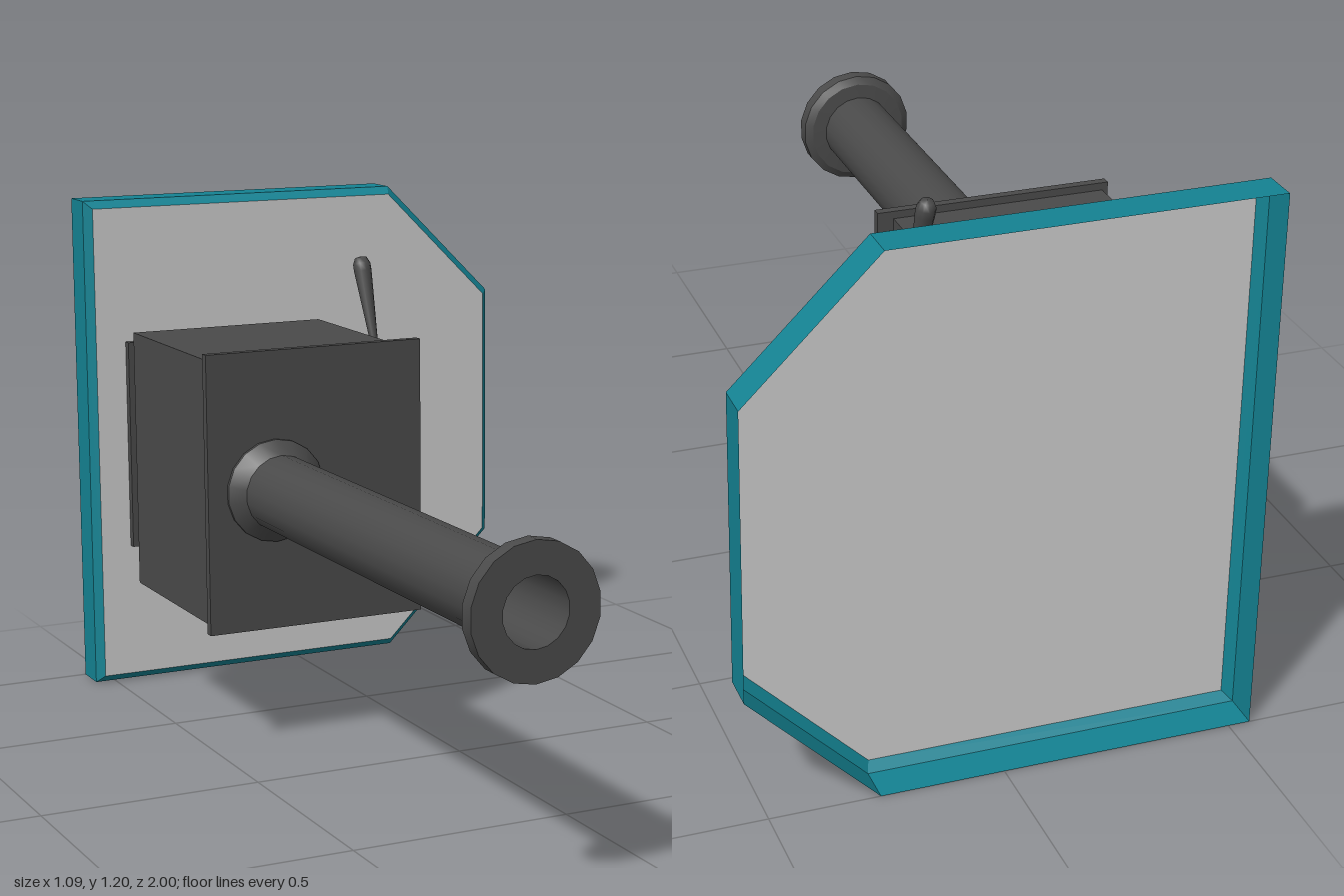
import * as THREE from 'three';
import { toCreasedNormals } from 'three/addons/utils/BufferGeometryUtils.js';

const iron = new THREE.MeshStandardMaterial({ color: 0x4a4a4a, side: THREE.DoubleSide });
const teal = new THREE.MeshStandardMaterial({ color: 0x148292, side: THREE.DoubleSide, flatShading: true });
const grey = new THREE.MeshStandardMaterial({ color: 0xcccccc, side: THREE.DoubleSide });
const wood = new THREE.MeshStandardMaterial({ color: 0x85593a, flatShading: true });

export function createModel() {
  const root = new THREE.Group();

  const add = (name, geometry, material = iron) => {
    const mesh = new THREE.Mesh(geometry, material);
    mesh.name = name;
    root.add(mesh);
    return mesh;
  };

  // Box given by its lower and upper limits on each axis
  const box = (name, [x0, x1], [y0, y1], [z0, z1], material) =>
    add(name, new THREE.BoxGeometry(x1 - x0, y1 - y0, z1 - z0)
      .translate((x0 + x1) / 2, (y0 + y1) / 2, (z0 + z1) / 2), material);

  // Hearth: thin open-backed tray with two cut corners and a bevelled rim
  const outline = (d) => {
    const k = d * 0.414;
    return [[-0.548 + d, d], [0.265 - k, d], [0.546 - d, 0.281 + k],
      [0.546 - d, 0.919 - k], [0.265 - k, 1.2 - d], [-0.548 + d, 1.2 - d]];
  };
  const loops = [[0, -1], [0, -0.92], [0.018, -0.9]]
    .map(([d, z]) => outline(d).map(([x, y]) => [x, y, z]));
  const rim = [];
  for (let l = 0; l < 2; l++) {
    for (let i = 0; i < 6; i++) {
      const j = (i + 1) % 6;
      const a = loops[l][i], b = loops[l][j], c = loops[l + 1][j], d = loops[l + 1][i];
      rim.push(...a, ...b, ...c, ...a, ...c, ...d);
    }
  }
  const rimGeometry = new THREE.BufferGeometry();
  rimGeometry.setAttribute('position', new THREE.Float32BufferAttribute(rim, 3));
  rimGeometry.computeVertexNormals();
  add('hearthRim', rimGeometry, teal);
  const panel = new THREE.Shape(outline(0.018).map(([x, y]) => new THREE.Vector2(x, y)));
  add('hearthPanel', new THREE.ShapeGeometry(panel).translate(0, 0, -0.9), grey);

  // Foot and pedestal
  box('footPlate', [-0.455, -0.07], [0.345, 0.855], [-0.899, -0.88]);
  box('pedestal', [-0.425, -0.1], [0.37, 0.83], [-0.88, -0.72]);

  // Firebox walls
  const X = [-0.5, -0.02], Y = [0.295, 0.905], Z = [-0.72, -0.25], t = 0.02;
  box('fireboxFloor', X, Y, [Z[0], Z[0] + t]);
  box('fireboxBack', [X[0], X[0] + t], Y, Z);
  box('fireboxLowerSide', X, [Y[0], Y[0] + t], Z);
  box('fireboxUpperSide', X, [Y[1] - t, Y[1]], Z);
  box('topPlate', [-0.513, 0.016], [0.28, 0.922], [-0.25, -0.23]);

  // Upright frames with a window, drawn with u = -z and v = y
  const frame = (name, u0, u1, v0, v1, lip, x, depth) => {
    const shape = new THREE.Shape();
    shape.moveTo(u0, v0).lineTo(u1, v0).lineTo(u1, v1).lineTo(u0, v1).closePath();
    const a = 0.325 + lip, b = 0.652 - lip, c = 0.375 + lip, d = 0.825 - lip;
    const R = 0.09 - lip, r = 0.02;
    const hole = new THREE.Path();
    hole.moveTo(a + R, c);
    hole.absarc(a + R, d - R, R, Math.PI, Math.PI / 2, true);
    hole.curves.length = 0;
    hole.moveTo(a, c + R).lineTo(a, d - R)
      .absarc(a + R, d - R, R, Math.PI, Math.PI / 2, true)
      .lineTo(b - r, d).lineTo(b, d - r).lineTo(b, c + r).lineTo(b - r, c)
      .lineTo(a + R, c).absarc(a + R, c + R, R, -Math.PI / 2, -Math.PI, true);
    shape.holes.push(hole);
    const geometry = new THREE.ExtrudeGeometry(shape, { depth, bevelEnabled: false, curveSegments: 6 });
    add(name, toCreasedNormals(geometry.rotateY(Math.PI / 2).translate(x, 0, 0), 0.6));
  };
  frame('fireboxFront', 0.25, 0.72, 0.295, 0.905, 0.012, -0.035, 0.015);
  frame('door', 0.27, 0.698, 0.312, 0.888, 0, -0.02, 0.02);

  // Flue: collar, pipe, end flange and bore
  const flue = [[0.118, -0.23], [0.118, -0.222], [0.087, -0.19], [0.087, 0.95], [0.122, 0.953],
    [0.14, 0.965], [0.14, 1], [0.072, 1], [0.072, -0.229]]
    .map(([r, z]) => new THREE.Vector2(r, z));
  add('fluePipe', toCreasedNormals(
    new THREE.LatheGeometry(flue, 18).rotateX(Math.PI / 2).translate(-0.35, 0.602, 0), 0.45));

  // Door handle: pivot block and a grip that swells towards its rounded end
  box('handlePivot', [0, 0.03], [0.838, 0.872], [-0.495, -0.472]);
  const grip = [[0.001, 0], [0.008, 0.005], [0.01, 0.04], [0.021, 0.2], [0.021, 0.218], [0.014, 0.233], [0, 0.236]]
    .map(([r, h]) => new THREE.Vector2(r, h));
  const handle = add('handleGrip', new THREE.LatheGeometry(grip, 10));
  handle.position.set(0.023, 0.85, -0.482);
  handle.rotation.set(-0.28, 0, 0.035);

  // Split logs: two along the depth, one lying across them
  const logs = [[0.36, -0.25, 0.49, -0.655, 0, 0.12], [0.36, -0.25, 0.7, -0.65, 0.05, -0.16],
    [0.36, -0.22, 0.605, -0.58, 0, 1.5]];
  logs.forEach(([length, x, y, z, tilt, turn]) => {
    const geometry = new THREE.CylinderGeometry(0.05, 0.056, length, 5).rotateZ(Math.PI / 2);
    const log = add('log', geometry.scale(1, 1, 0.8), wood);
    log.position.set(x, y, z);
    log.rotation.set(0, tilt, turn);
  });

  return root;
}
